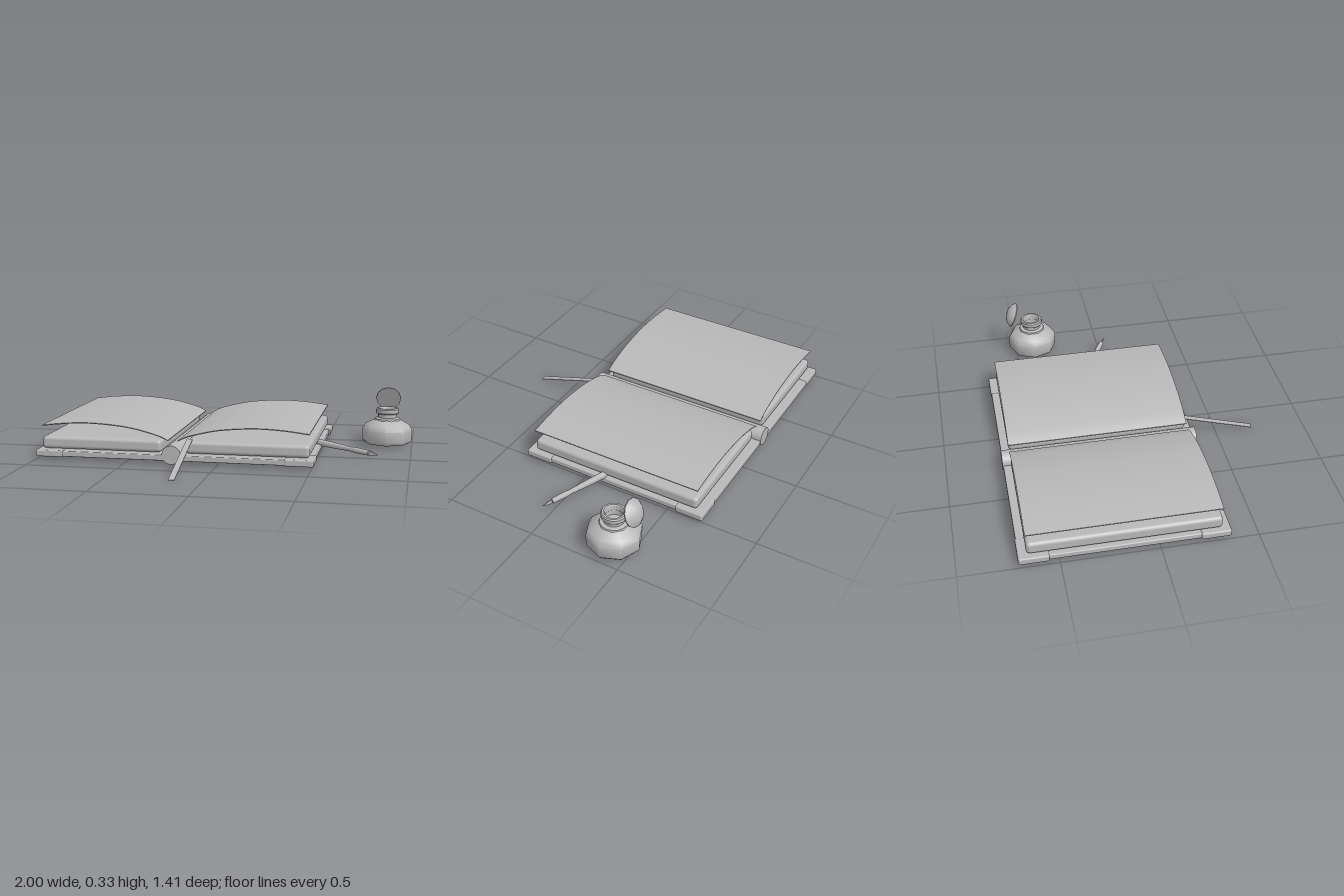
import * as THREE from 'three';
import { toCreasedNormals } from 'three/addons/utils/BufferGeometryUtils.js';
import { RoundedBoxGeometry } from 'three/addons/geometries/RoundedBoxGeometry.js';

const grey = new THREE.MeshStandardMaterial({ color: 0xb8b8b8 });
grey.name = 'plain grey';
const greyOpen = new THREE.MeshStandardMaterial({ color: 0xb8b8b8, side: THREE.DoubleSide });
greyOpen.name = 'plain grey';

const SPINE_X = -0.243, BACK = -0.703, FRONT = 0.358;
const MID_Z = (BACK + FRONT) / 2;

function add(parent, name, geometry, x = 0, y = 0, z = 0, material = grey) {
  const mesh = new THREE.Mesh(geometry, material);
  mesh.name = name;
  mesh.position.set(x, y, z);
  parent.add(mesh);
  return mesh;
}

// Lathe from [radius, height] pairs with crisp rims
function turned(points, sides, crease = 0.6) {
  const profile = points.map(([r, y]) => new THREE.Vector2(r, y));
  return toCreasedNormals(new THREE.LatheGeometry(profile, sides), crease);
}

// Curved open leaf: an arched strip with thickness, swept along z
function leafGeometry(side) {
  const curve = new THREE.SplineCurve([
    [0.027, 0.128], [0.09, 0.155], [0.22, 0.187], [0.34, 0.202],
    [0.47, 0.208], [0.6, 0.202], [0.73, 0.187],
  ].map(([x, y]) => new THREE.Vector2(side * x, y)));
  const top = curve.getPoints(24);
  const under = top.map((p) => new THREE.Vector2(p.x, p.y - 0.005)).reverse();
  const geometry = new THREE.ExtrudeGeometry(new THREE.Shape([...top, ...under]), {
    depth: 0.977, bevelEnabled: false,
  });
  return toCreasedNormals(geometry, 0.6);
}

function createBook() {
  const book = new THREE.Group();
  book.name = 'openBook';

  const spine = add(book, 'spine', new THREE.CylinderGeometry(0.051, 0.051, FRONT - BACK, 24), SPINE_X, 0.056, MID_Z);
  spine.rotation.x = Math.PI / 2;

  for (const side of [-1, 1]) {
    const label = side < 0 ? 'right' : 'left';
    // Cover board
    add(book, label + 'Cover', new RoundedBoxGeometry(0.735, 0.031, 1.054, 2, 0.006),
      SPINE_X + side * 0.381, 0.039, MID_Z);
    // Corner guards
    for (const end of [-1, 1]) {
      add(book, label + 'CornerGuard', new RoundedBoxGeometry(0.153, 0.037, 0.153, 2, 0.008),
        SPINE_X + side * 0.6805, 0.039, MID_Z + end * 0.454);
    }
    // Page block with the curved leaf above it
    add(book, label + 'PageBlock', new RoundedBoxGeometry(0.667, 0.068, 0.977, 3, 0.02),
      SPINE_X + side * 0.398, 0.092, -0.171);
    add(book, label + 'Leaf', leafGeometry(side), SPINE_X, 0, -0.661);
  }

  // Bookmark ribbon sloping down in front
  const slope = Math.atan2(0.127, 0.42);
  const ribbon = add(book, 'ribbon', new THREE.BoxGeometry(0.032, 0.004, Math.hypot(0.127, 0.42)), -0.156, 0.0695, 0.497);
  ribbon.rotation.x = slope;
  return book;
}

function createInkwell() {
  const well = new THREE.Group();
  well.name = 'inkwell';
  well.position.set(0.857, 0, -0.398);

  // Eight-sided bottle, with an open neck
  add(well, 'bottle', turned([
    [0, 0.021], [0.13, 0.021], [0.141, 0.035], [0.143, 0.1], [0.125, 0.13], [0.075, 0.157],
  ], 8, 0.9));
  add(well, 'neck', turned([
    [0.077, 0.15], [0.072, 0.163], [0.053, 0.168], [0.053, 0.195],
  ], 16));
  add(well, 'rim', turned([
    [0.045, 0.19], [0.06, 0.19], [0.065, 0.196], [0.065, 0.216], [0.06, 0.223],
    [0.05, 0.223], [0.046, 0.217], [0.046, 0.16], [0, 0.155],
  ], 20), 0, 0, 0, greyOpen);

  // Tilted lid behind the neck, flat face towards the front
  const lid = add(well, 'lid', turned([
    [0, 0], [0.072, 0], [0.073, 0.006], [0.06, 0.02], [0.04, 0.034], [0, 0.04],
  ], 12), 0, 0.261, -0.106);
  lid.rotation.x = -Math.atan2(0.919, 0.394);
  return well;
}

function createPen() {
  const pen = new THREE.Group();
  pen.name = 'pen';
  const butt = new THREE.Vector3(0.475, 0.064, -0.121);
  const tip = new THREE.Vector3(0.83, 0.035, 0.045);
  const length = butt.distanceTo(tip);
  pen.position.copy(butt);
  pen.lookAt(tip);

  // Holder, collar and thin upright nib along local z
  const holder = turned([
    [0, 0], [0.012, 0.002], [0.019, 0.02], [0.018, 0.1], [0.013, 0.23],
    [0.016, 0.25], [0.016, 0.275], [0.014, 0.335], [0, 0.337],
  ], 12);
  add(pen, 'holder', holder.rotateX(Math.PI / 2));
  const nib = new THREE.Shape([
    [0.32, -0.011], [0.355, -0.011], [length, 0], [0.355, 0.011], [0.32, 0.011],
  ].map(([x, y]) => new THREE.Vector2(x, y)));
  const nibGeometry = new THREE.ExtrudeGeometry(nib, { depth: 0.004, bevelEnabled: false });
  add(pen, 'nib', nibGeometry.translate(0, 0, -0.002).rotateY(-Math.PI / 2));
  return pen;
}

export function createModel() {
  const model = new THREE.Group();
  model.name = 'writingSet';
  model.add(createBook(), createInkwell(), createPen());
  return model;
}
